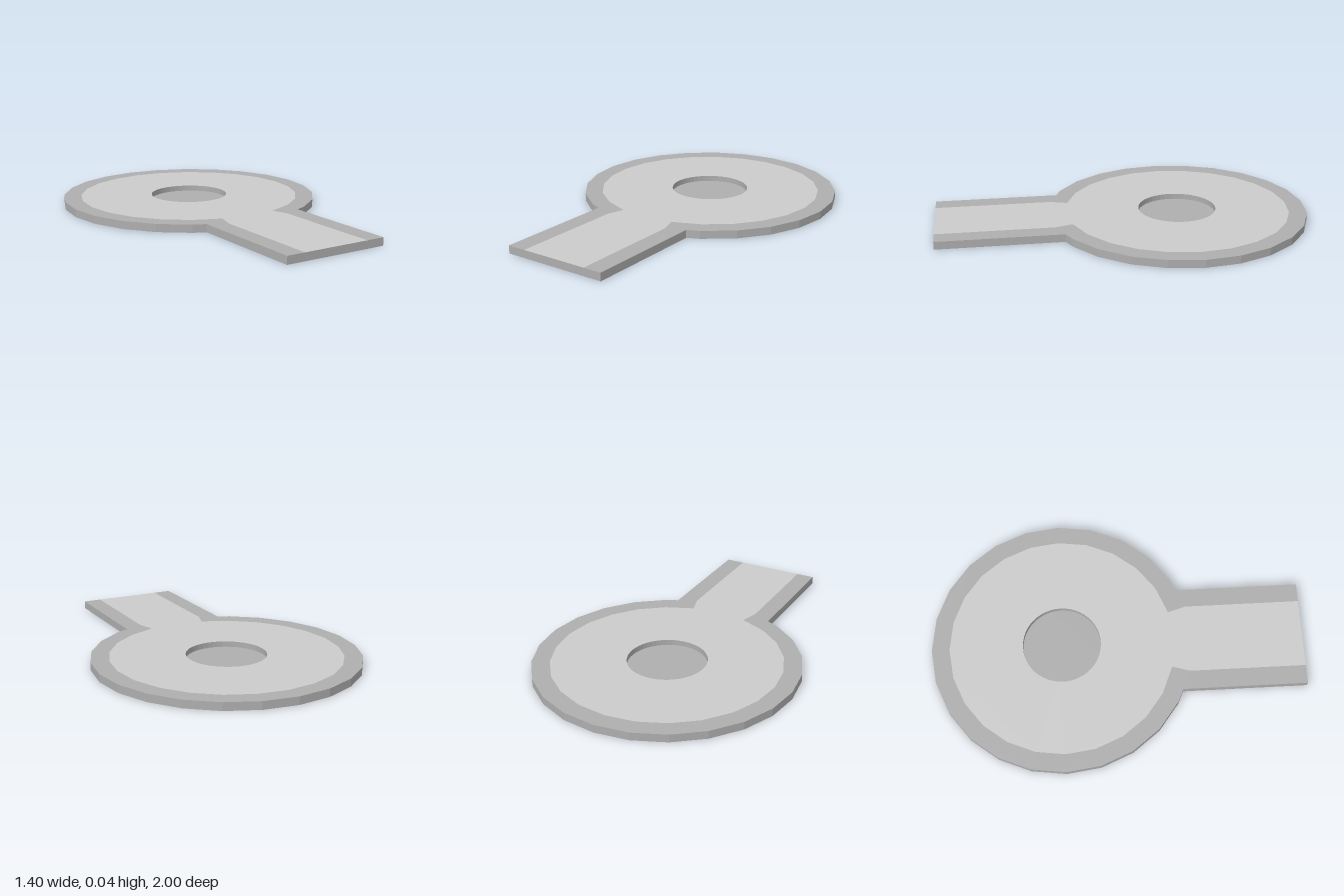
import * as THREE from 'three';

const TOP = 0.042, FLOOR = 0.012, CZ = 0.3; // plan coordinates: x right, y = -z
const SIDES = 24, HOLE = 0.21;

// Arc of the regular polygon, counter-clockwise, leaving out corners nearest the stem
function arc(radius, skip, sides = SIDES) {
  const pts = [];
  for (let i = skip; i <= sides - skip; i++) {
    const a = -Math.PI / 2 + (i / sides) * Math.PI * 2;
    pts.push(new THREE.Vector2(radius * Math.cos(a), CZ + radius * Math.sin(a)));
  }
  return pts;
}

const v = (x, y) => new THREE.Vector2(x, y);

// Flat face at a height, looking up or down
function face(pts, y, up = true, hole = null) {
  const shape = new THREE.Shape(up ? pts : pts.map(p => v(p.x, -p.y)));
  if (hole) shape.holes.push(new THREE.Path(hole));
  return new THREE.ShapeGeometry(shape)
    .rotateX(up ? -Math.PI / 2 : Math.PI / 2)
    .translate(0, y, 0);
}

// Upright wall along a closed outline; outward when counter-clockwise
function wall(pts, y0, y1) {
  const pos = [];
  pts.forEach((a, i) => {
    const b = pts[(i + 1) % pts.length];
    pos.push(a.x, y0, -a.y, b.x, y0, -b.y, b.x, y1, -b.y);
    pos.push(a.x, y0, -a.y, b.x, y1, -b.y, a.x, y1, -a.y);
  });
  const g = new THREE.BufferGeometry();
  g.setAttribute('position', new THREE.Float32BufferAttribute(pos, 3));
  g.computeVertexNormals();
  return g;
}

export function createModel() {
  const group = new THREE.Group();
  const light = new THREE.MeshStandardMaterial({ color: 0xcccccc });
  const dark = new THREE.MeshStandardMaterial({ color: 0xaeaeae });
  const add = (name, geometry, material) => {
    const mesh = new THREE.Mesh(geometry, material);
    mesh.name = name;
    group.add(mesh);
  };

  // Outlines of the whole plate, the lighter surface and the round recess
  const outer = [v(-0.285, -1), v(0.285, -1), v(0.285, -0.335),
    ...arc(0.7, 2), v(-0.285, -0.335)];
  const inner = [v(-0.185, -1), v(0.185, -1), v(0.185, -0.38),
    ...arc(0.605, 1), v(-0.185, -0.38)];
  const hole = arc(HOLE, 0, 48).slice(0, -1);

  // Border: around the outside, then back along the inside
  const border = [...outer.slice(1), outer[0], inner[0], ...inner.slice(1).reverse()];

  add('border', face(border, TOP), dark);
  add('innerSurface', face(inner, TOP, true, hole), light);
  add('outerWall', wall(outer, 0, TOP), dark);
  add('underside', face(outer, 0, false), dark);

  // Central recess
  add('recessWall', wall([...hole].reverse(), FLOOR, TOP), dark);
  add('recessFloor', face(hole, FLOOR), dark);
  return group;
}
